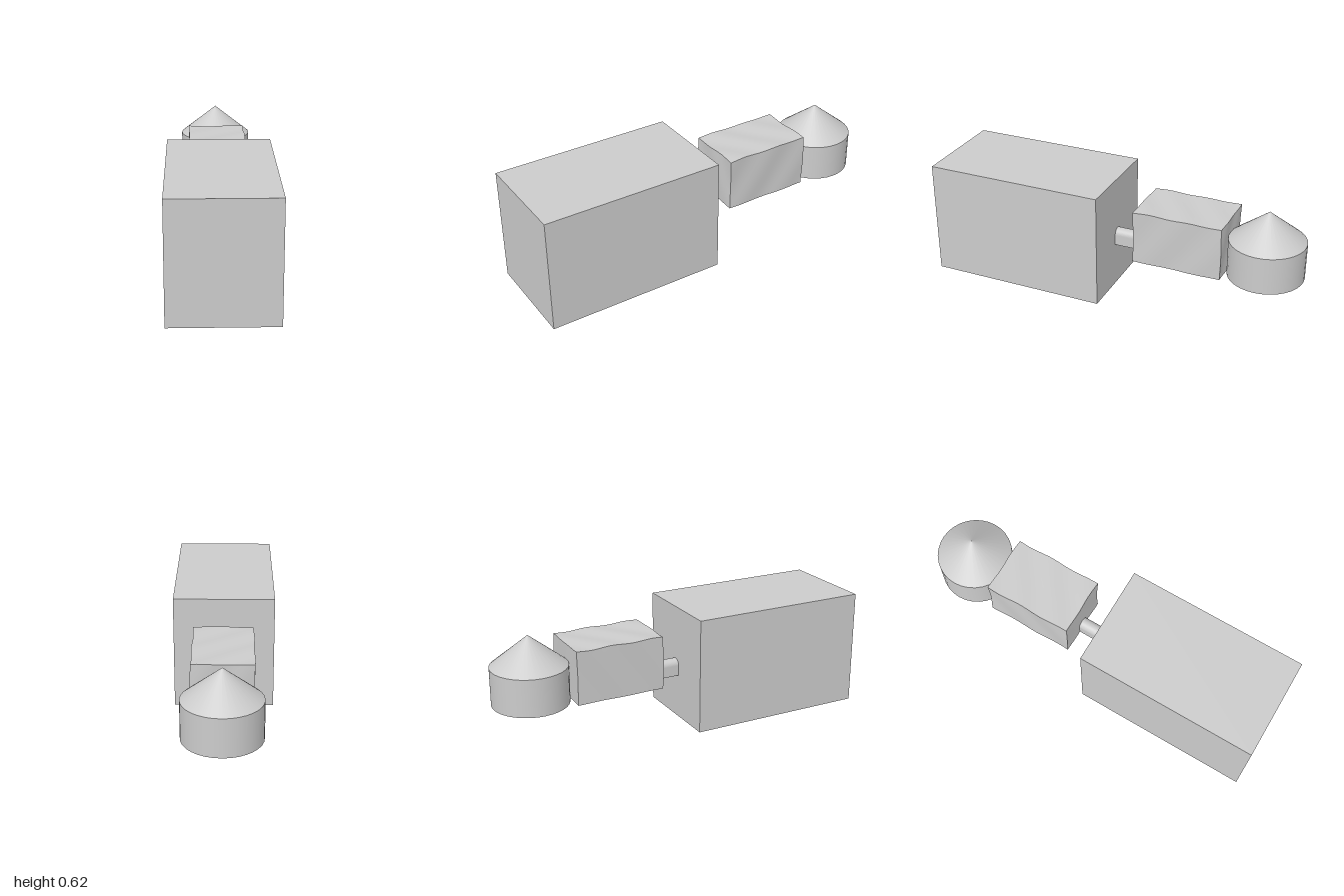
import * as THREE from 'three';

const BASE = 0.24; // underside of the raised parts

export function createModel() {
  const group = new THREE.Group();
  const material = new THREE.MeshStandardMaterial({ color: 0xcccccc });

  const add = (name, geometry, x, y, z) => {
    const mesh = new THREE.Mesh(geometry, material);
    mesh.name = name;
    mesh.position.set(x, y, z);
    group.add(mesh);
    return mesh;
  };

  // Large plain block at the front
  add('mainBlock', new THREE.BoxGeometry(0.54, 0.62, 0.97), 0, 0.31, 0.515);

  // Narrow passage with an arched top
  const arch = new THREE.Shape();
  arch.moveTo(-0.033, 0);
  arch.lineTo(0.033, 0);
  arch.lineTo(0.033, 0.057);
  arch.absarc(0, 0.057, 0.033, 0, Math.PI, false);
  arch.closePath();
  const passage = new THREE.ExtrudeGeometry(arch, { depth: 0.17, bevelEnabled: false, curveSegments: 12 });
  add('passage', passage, 0, BASE, -0.135);

  // Middle block with slightly uneven walls and roof, flat underneath
  const h = 0.286;
  const rough = new THREE.BoxGeometry(0.312, h, 0.48, 10, 10, 16);
  const p = rough.attributes.position;
  for (let i = 0; i < p.count; i++) {
    const x = p.getX(i), y = p.getY(i), z = p.getZ(i);
    const lift = (y + h / 2) / h;
    p.setXYZ(
      i,
      x + 0.0025 * Math.sin(23 * z + 17 * y),
      y + 0.0025 * lift * Math.sin(29 * z + 21 * x),
      z + 0.002 * Math.sin(31 * x + 19 * y)
    );
  }
  rough.computeVertexNormals();
  add('middleBlock', rough, 0, BASE + h / 2, -0.365);

  // Round tower with a conical roof at the back
  add('tower', new THREE.CylinderGeometry(0.2, 0.2, 0.2, 32), 0, BASE + 0.1, -0.8);
  add('towerRoof', new THREE.ConeGeometry(0.2, 0.16, 32), 0, BASE + 0.28, -0.8);

  return group;
}
